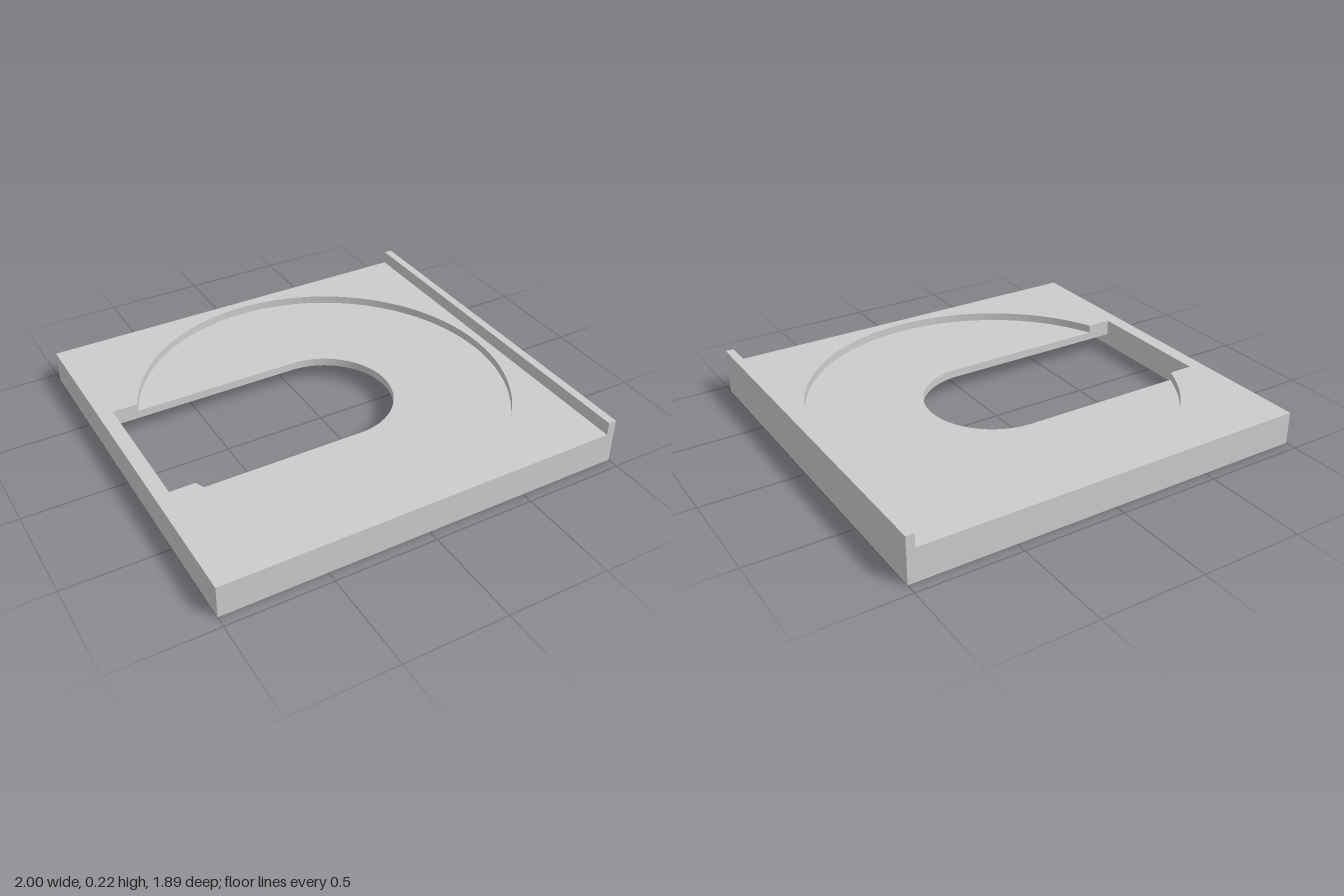
import * as THREE from 'three';
import { toCreasedNormals } from 'three/addons/utils/BufferGeometryUtils.js';

const HALF_X = 1, HALF_Z = 0.945; // footprint
const WALL = 0.04;                // rim and lip thickness
const CX = 0.022;                 // shared centre of dish and slot end
const DISH_R = 0.893, SLOT_R = 0.333, SLOT_X = -0.93;

const material = new THREE.MeshStandardMaterial({ color: 0xcccccc });

function rectangle(PathType, hx, hz) {
  const p = new PathType();
  p.moveTo(-hx, -hz);
  p.lineTo(hx, -hz);
  p.lineTo(hx, hz);
  p.lineTo(-hx, hz);
  p.closePath();
  return p;
}

// Footprint with one opening, extruded upwards from y0 to y1
function layer(name, hole, y0, y1) {
  const shape = rectangle(THREE.Shape, HALF_X, HALF_Z);
  shape.holes.push(hole);
  const geo = new THREE.ExtrudeGeometry(shape, { depth: y1 - y0, bevelEnabled: false, curveSegments: 96 });
  geo.rotateX(-Math.PI / 2).translate(0, y0, 0);
  const mesh = new THREE.Mesh(toCreasedNormals(geo, 0.4), material);
  mesh.name = name;
  return mesh;
}

export function createModel() {
  const group = new THREE.Group();
  group.name = 'trayPlate';

  // Rim around the hollow underside
  group.add(layer('undersideRim', rectangle(THREE.Path, HALF_X - WALL, HALF_Z - WALL), 0, 0.08));

  // Dish floor, cut by a slot with one round end
  const slot = new THREE.Path();
  slot.moveTo(SLOT_X, -SLOT_R);
  slot.lineTo(CX, -SLOT_R);
  slot.absarc(CX, 0, SLOT_R, -Math.PI / 2, Math.PI / 2, false);
  slot.lineTo(SLOT_X, SLOT_R);
  slot.closePath();
  group.add(layer('dishFloor', slot, 0.08, 0.12));

  // Top layer, opened by the round dish joined with the slot
  const a = Math.PI - Math.asin(SLOT_R / DISH_R);
  const dish = new THREE.Path();
  dish.moveTo(SLOT_X, -SLOT_R);
  dish.lineTo(CX + DISH_R * Math.cos(a), -SLOT_R);
  dish.absarc(CX, 0, DISH_R, -a, a, false);
  dish.lineTo(SLOT_X, SLOT_R);
  dish.closePath();
  group.add(layer('topPlate', dish, 0.12, 0.16));

  // Raised lip along the left edge
  const lip = new THREE.Mesh(new THREE.BoxGeometry(WALL, 0.065, HALF_Z * 2), material);
  lip.name = 'edgeLip';
  lip.position.set(HALF_X - WALL / 2, 0.16 + 0.0325, 0);
  group.add(lip);

  return group;
}
